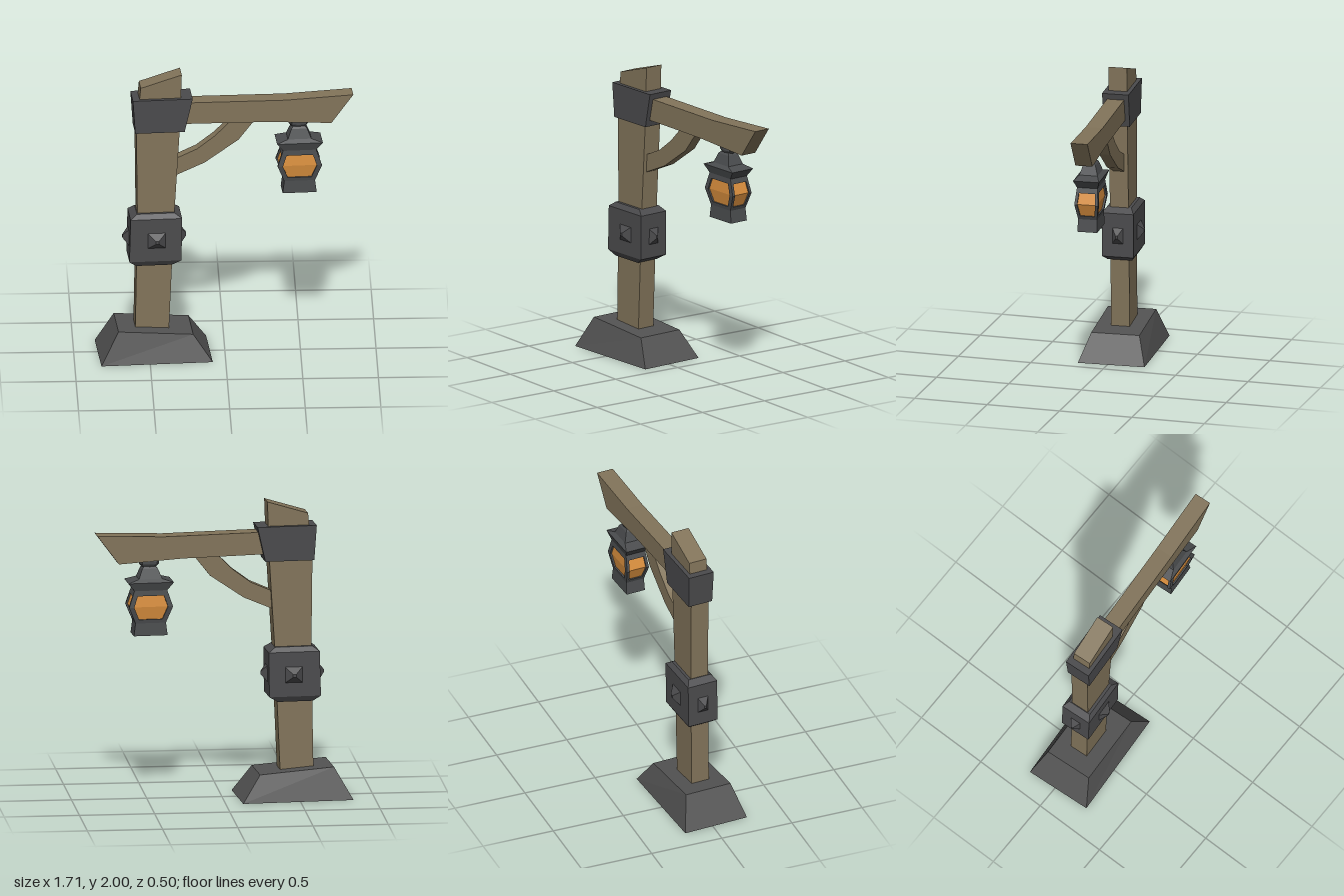
import * as THREE from 'three';

const mat = (name, color) => {
  const m = new THREE.MeshStandardMaterial({ color, flatShading: true });
  m.name = name;
  return m;
};

// Flat-shaded geometry from a list of four-cornered faces
function fromQuads(quads) {
  const pos = [];
  for (const [a, b, c, d] of quads) pos.push(...a, ...b, ...c, ...a, ...c, ...d);
  const g = new THREE.BufferGeometry();
  g.setAttribute('position', new THREE.Float32BufferAttribute(pos, 3));
  g.computeVertexNormals();
  return g;
}

// Closed four-sided solid; section = [xLeft, xRight, half depth, y at left, y at right]
function loft(sections) {
  const rings = sections.map(([l, r, d, yl, yr = yl]) =>
    [[l, yl, d], [r, yr, d], [r, yr, -d], [l, yl, -d]]);
  const quads = [[...rings[0]].reverse(), rings[rings.length - 1]];
  for (let k = 0; k + 1 < rings.length; k++) {
    for (let i = 0; i < 4; i++) {
      const j = (i + 1) % 4;
      quads.push([rings[k][i], rings[k][j], rings[k + 1][j], rings[k + 1][i]]);
    }
  }
  return fromQuads(quads);
}

// Beam cut from a side outline
function beam(points, depth) {
  const shape = new THREE.Shape(points.map(([x, y]) => new THREE.Vector2(x, y)));
  return new THREE.ExtrudeGeometry(shape, { depth, bevelEnabled: false }).translate(0, 0, -depth / 2);
}

// Bulging window: frame around a recessed pane; hw and d are given at bottom, middle, top
function windowFace(hw, d, margin) {
  const ys = [1.21, 1.32, 1.43], inY = [1.235, 1.32, 1.395];
  const loop = (w, y, z) => [[-w[0], y[0], z[0]], [w[0], y[0], z[0]], [w[1], y[1], z[1]],
    [w[2], y[2], z[2]], [-w[2], y[2], z[2]], [-w[1], y[1], z[1]]];
  const mix = (a, b, t) => a + (b - a) * t;
  const inD = [mix(d[0], d[1], 0.23), d[1], mix(d[2], d[1], 0.32)];
  const inW = [mix(hw[0], hw[1], 0.23), hw[1], mix(hw[2], hw[1], 0.32)].map(w => w - margin);
  const outer = loop(hw, ys, d);
  const inner = loop(inW, inY, inD);
  const back = loop(inW, inY, inD.map(z => z - 0.012));
  const frame = [];
  for (let i = 0; i < 6; i++) {
    const j = (i + 1) % 6;
    frame.push([outer[i], outer[j], inner[j], inner[i]], [inner[i], inner[j], back[j], back[i]]);
  }
  const pane = [[back[0], back[1], back[2], back[5]], [back[5], back[2], back[3], back[4]]];
  return [fromQuads(frame), fromQuads(pane)];
}

export function createModel() {
  const wood = mat('weathered wood', 0x82745a);
  const stone = mat('grey stone', 0x535353);
  const iron = mat('dark iron', 0x4b4b4d);
  const lanternIron = mat('lantern iron', 0x4a4c4e);
  const glass = mat('amber glass', 0xd98f3e);

  const model = new THREE.Group();
  model.name = 'lampPost';
  const body = new THREE.Group();
  body.name = 'postAssembly';
  body.position.x = -0.47;
  body.rotation.y = 0.067;
  model.add(body);

  const add = (parent, name, geometry, material) => {
    const m = new THREE.Mesh(geometry, material);
    m.name = name;
    parent.add(m);
    return m;
  };

  // Footing and post
  add(body, 'base', loft([[-0.37, 0.37, 0.226, 0], [-0.25, 0.246, 0.163, 0.215, 0.178]]), stone);
  add(body, 'post', loft([
    [-0.13, 0.092, 0.063, 0.12], [-0.115, 0.13, 0.063, 1.0],
    [-0.122, 0.166, 0.063, 1.6], [-0.093, 0.18, 0.063, 1.915, 2.0]]), wood);

  // Collars around the post
  add(body, 'middleCollar', loft([
    [-0.122, 0.112, 0.082, 0.65], [-0.172, 0.174, 0.106, 0.688],
    [-0.164, 0.178, 0.106, 0.988], [-0.12, 0.13, 0.082, 1.02]]), iron);
  add(body, 'topCollar', loft([
    [-0.131, 0.197, 0.086, 1.6], [-0.147, 0.25, 0.09, 1.835]]), iron);

  // Studs on the four sides of the middle collar
  const stud = (x, z, rx, rz, sx, sz) => {
    const m = add(body, 'collarStud', loft([
      [-sx, sx, sz, 0], [-sx * 0.18, sx * 0.18, sz * 0.18, 0.04]]), iron);
    m.position.set(x, 0.835, z);
    m.rotation.set(rx, 0, rz);
  };
  for (const s of [1, -1]) {
    stud(0.01, s * 0.104, s * Math.PI / 2, 0, 0.06, 0.055);
    stud(0.003 + s * 0.172, 0, 0, -s * Math.PI / 2, 0.055, 0.037);
  }

  // Arm and curved brace
  add(body, 'arm', beam([
    [0, 1.645], [0.25, 1.645], [0.75, 1.637], [1.175, 1.612],
    [1.32, 1.808], [0.87, 1.788], [0.25, 1.795], [0, 1.795]], 0.115), wood);
  add(body, 'brace', beam([
    [0.1, 1.25], [0.15, 1.275], [0.335, 1.355], [0.56, 1.51], [0.67, 1.65],
    [0.51, 1.65], [0.405, 1.545], [0.285, 1.455], [0.15, 1.395], [0.1, 1.38]], 0.075), wood);

  // Hanging lantern
  const lantern = new THREE.Group();
  lantern.name = 'lantern';
  lantern.position.x = 0.963;
  body.add(lantern);
  const sym = (w, d, y) => [-w, w, d, y];
  add(lantern, 'lanternFoot', loft([sym(0.113, 0.067, 1.125), sym(0.102, 0.064, 1.21)]), lanternIron);
  add(lantern, 'lanternRoof', loft([
    sym(0.11, 0.07, 1.43), sym(0.152, 0.088, 1.485), sym(0.078, 0.062, 1.507),
    sym(0.052, 0.041, 1.572), sym(0.04, 0.03, 1.585)]), lanternIron);
  const wide = [0.102, 0.147, 0.11], deep = [0.064, 0.08, 0.07];
  for (let i = 0; i < 4; i++) {
    const front = i % 2 === 0;
    const [frame, pane] = windowFace(front ? wide : deep, front ? deep : wide, front ? 0.034 : 0.019);
    add(lantern, 'windowFrame', frame, lanternIron).rotation.y = i * Math.PI / 2;
    add(lantern, 'windowPane', pane, glass).rotation.y = i * Math.PI / 2;
  }

  // Hanger knob between lantern and arm
  const knob = [[0, 1.575], [0.045, 1.577], [0.068, 1.6], [0.068, 1.618], [0.045, 1.64], [0, 1.64]];
  add(lantern, 'hangerKnob', new THREE.LatheGeometry(
    knob.map(([x, y]) => new THREE.Vector2(x, y)), 8), lanternIron).scale.z = 0.62;

  return model;
}
